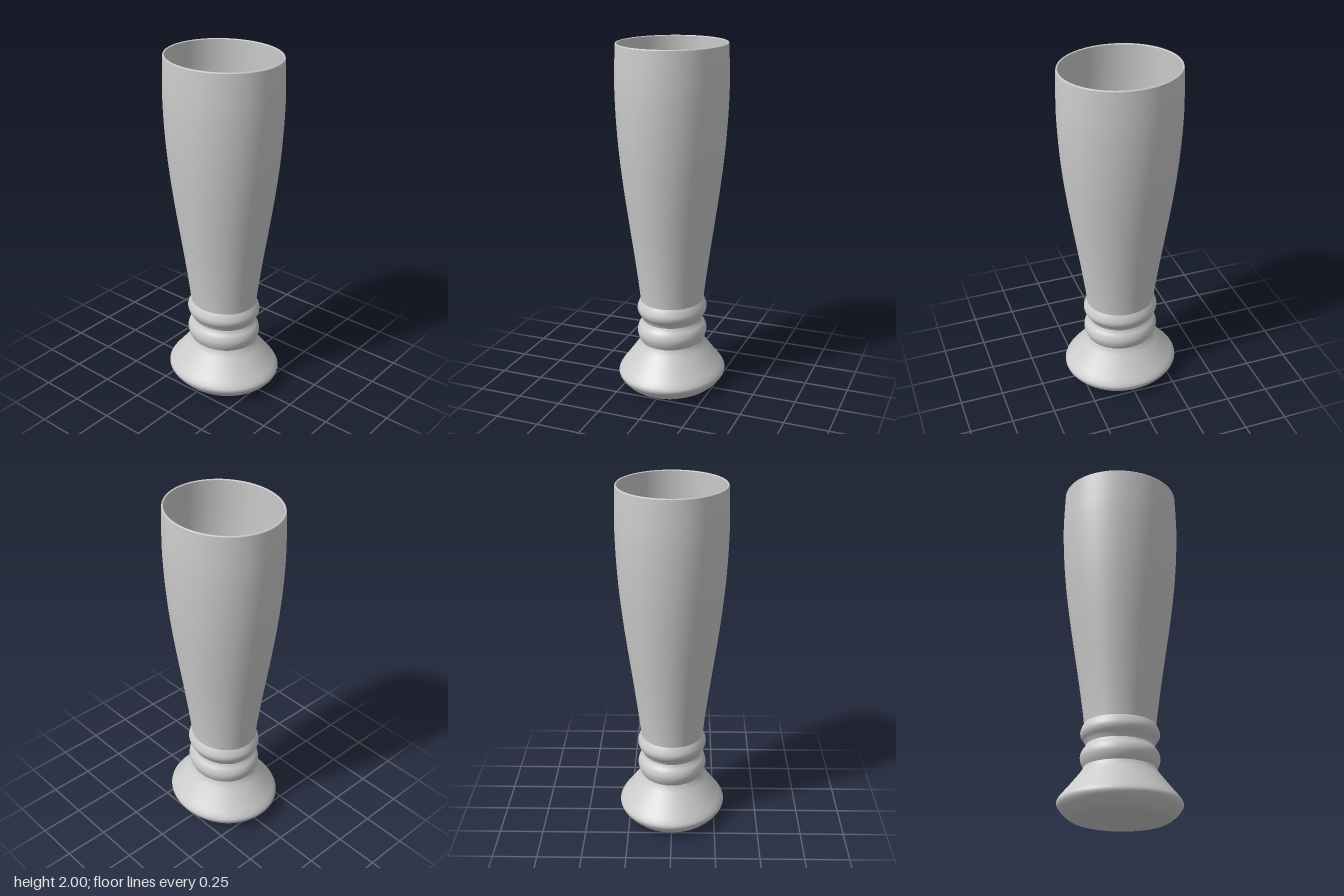
import * as THREE from 'three';

const SEGMENTS = 96;
const DEPTH_RATIO = 1.1; // oval cross-section, deeper than wide

const material = new THREE.MeshStandardMaterial({ color: 0xcccccc });
material.name = 'pale grey';

// Smooth curve through [radius, height] pairs
function smooth(points, divisions) {
  return new THREE.SplineCurve(points.map(([r, y]) => new THREE.Vector2(r, y))).getPoints(divisions);
}

function turned(name, profile) {
  const mesh = new THREE.Mesh(new THREE.LatheGeometry(profile, SEGMENTS), material);
  mesh.name = name;
  mesh.scale.z = DEPTH_RATIO;
  return mesh;
}

export function createModel() {
  const group = new THREE.Group();
  group.name = 'vase';
  const v = (r, y) => new THREE.Vector2(r, y);

  // Flat underside, slightly raised at the rim of the foot
  group.add(turned('underside', [v(0, 0), v(0.2, 0.004), v(0.238, 0.012)]));

  // Flared foot with a rounded widest edge
  group.add(turned('foot', smooth([
    [0.238, 0.012], [0.262, 0.028], [0.292, 0.06], [0.307, 0.09], [0.297, 0.118],
    [0.262, 0.165], [0.222, 0.22], [0.193, 0.262], [0.181, 0.288],
  ], 40)));

  // Two stacked rings around the neck
  const ring = [[0.181, 0], [0.193, 0.028], [0.198, 0.058], [0.191, 0.088], [0.176, 0.112], [0.169, 0.128]];
  group.add(turned('lowerRing', smooth(ring.map(([r, y]) => [r, y + 0.288]), 24)));
  group.add(turned('upperRing', smooth([
    [0.169, 0.416], [0.178, 0.436], [0.193, 0.46], [0.198, 0.485], [0.191, 0.512], [0.18, 0.535],
  ], 24)));

  // Tall tapering body
  group.add(turned('body', smooth([
    [0.18, 0.535], [0.189, 0.62], [0.212, 0.8], [0.24, 1.0], [0.267, 1.2],
    [0.289, 1.4], [0.302, 1.58], [0.308, 1.75], [0.306, 1.88], [0.302, 1.995],
  ], 48)));

  // Thin lip
  group.add(turned('lip', [v(0.302, 1.995), v(0.3, 2), v(0.294, 2), v(0.292, 1.996)]));

  // Hollow inside, rounding into the floor
  group.add(turned('inside', smooth([
    [0.292, 1.996], [0.296, 1.75], [0.29, 1.58], [0.277, 1.4], [0.254, 1.2], [0.226, 1.0],
    [0.196, 0.8], [0.168, 0.62], [0.153, 0.55], [0.135, 0.522], [0.11, 0.515], [0, 0.515],
  ], 66)));

  return group;
}
